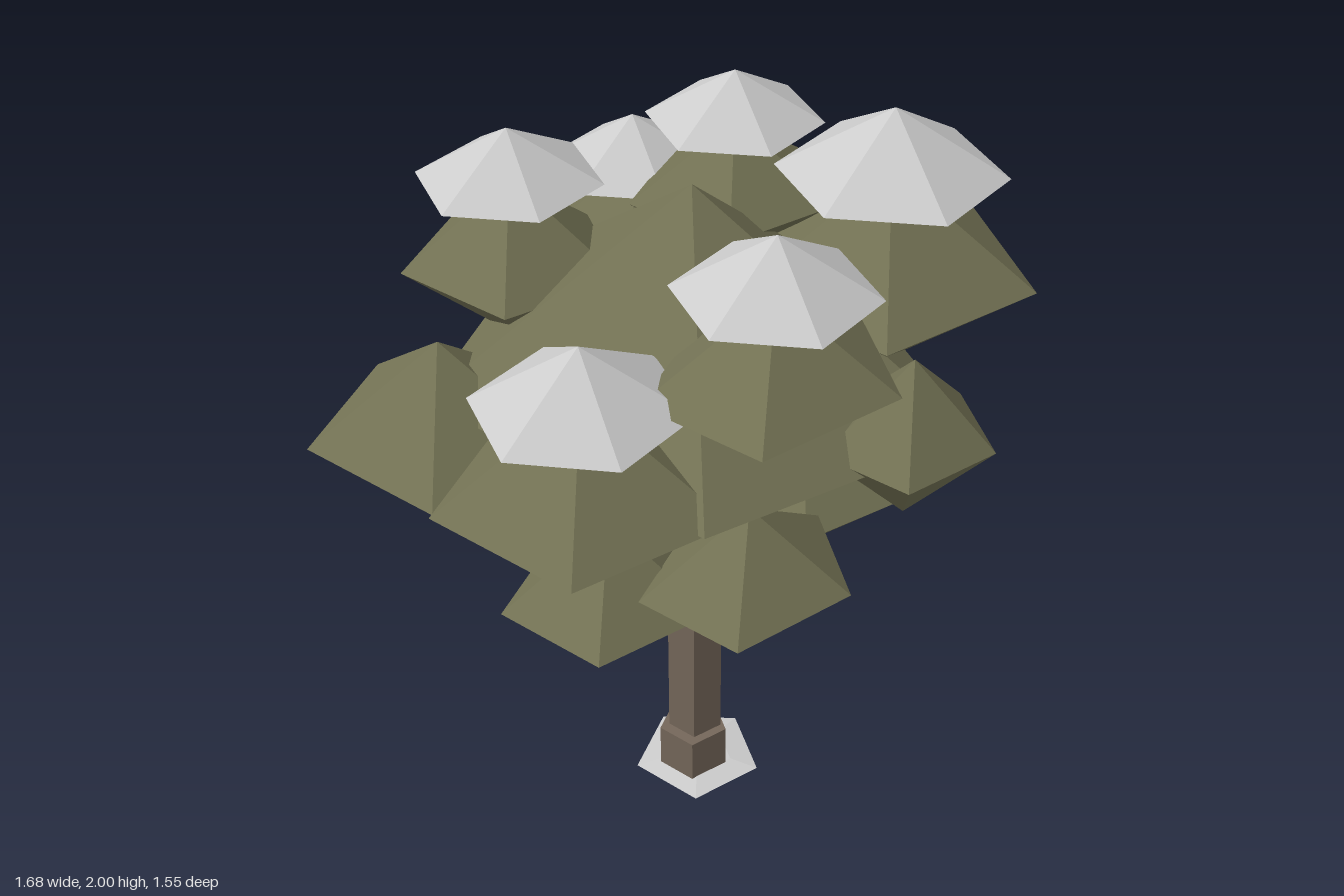
import * as THREE from 'three';

const paint = (color) => new THREE.MeshStandardMaterial({ color, flatShading: true });

export function createModel() {
  const tree = new THREE.Group();
  const bark = paint(0x75675a);
  const leaf = paint(0x737254);
  const snow = paint(0xcccccc);

  const add = (name, geometry, material, x, y, z) => {
    const mesh = new THREE.Mesh(geometry, material);
    mesh.name = name;
    mesh.position.set(x, y, z);
    tree.add(mesh);
    return mesh;
  };

  // Upright five-sided prism with one corner towards +x
  const prism = (top, bottom, height) =>
    new THREE.CylinderGeometry(top, bottom, height, 5).rotateY(Math.PI / 2);

  // Trunk, its foot and the thin patch of snow on the ground
  add('groundSnow', prism(0.1, 0.182, 0.012), snow, 0.005, 0.006, -0.015);
  add('trunkFoot', prism(0.098, 0.098, 0.14), bark, -0.015, 0.075, -0.015);
  add('trunk', prism(0.077, 0.077, 1.2), bark, -0.003, 0.61, -0.018);

  // Branches rising from the trunk into the lower clumps: start height, end point
  const branches = [
    [0.66, -0.37, 0.885, 0],
    [0.68, 0.29, 0.885, 0.12],
    [0.76, -0.21, 0.99, 0.31],
    [0.72, 0.13, 0.94, -0.32],
  ];
  const up = new THREE.Vector3(0, 1, 0);
  for (const [y0, x, y, z] of branches) {
    const start = new THREE.Vector3(0, y0, -0.015);
    const end = new THREE.Vector3(x, y, z);
    const dir = end.clone().sub(start);
    const mid = start.clone().add(end).multiplyScalar(0.5);
    const branch = add('branch', new THREE.CylinderGeometry(0.022, 0.032, dir.length(), 5), bark, mid.x, mid.y, mid.z);
    branch.quaternion.setFromUnitVectors(up, dir.normalize());
  }

  // Five-sided double pyramids of foliage: centre x, y, z, radii x, y, z
  const clump = (name, x, y, z, rx, ry, rz) =>
    add(name, new THREE.SphereGeometry(1, 5, 2).rotateY(Math.PI).scale(rx, ry, rz), leaf, x, y, z);

  clump('crown', -0.015, 1.36, -0.015, 0.63, 0.52, 0.735);

  const bareClumps = [
    [-0.475, 1.255, -0.43, 0.33, 0.26, 0.36],
    [0.05, 1.38, 0.58, 0.23, 0.22, 0.205],
    [-0.21, 0.99, 0.31, 0.3, 0.21, 0.255],
    [-0.37, 0.885, 0, 0.29, 0.225, 0.27],
    [0.29, 0.885, 0.12, 0.24, 0.215, 0.26],
    [0.13, 0.945, -0.32, 0.28, 0.21, 0.285],
  ];
  for (const c of bareClumps) clump('leafClump', ...c);

  // Upper clumps wearing a snow cap: ellipsoid values, then cap radius, base and peak height
  const snowyClumps = [
    [-0.14, 1.57, -0.48, 0.28, 0.23, 0.295, 0.235, 1.795, 1.93],
    [0.33, 1.43, -0.48, 0.27, 0.23, 0.3, 0.23, 1.645, 1.78],
    [0.33, 1.675, -0.15, 0.28, 0.19, 0.27, 0.225, 1.873, 2.0],
    [-0.55, 1.355, 0.09, 0.36, 0.265, 0.36, 0.26, 1.59, 1.75],
    [-0.21, 1.605, 0.37, 0.34, 0.22, 0.29, 0.24, 1.825, 1.97],
    [0.425, 1.545, 0.255, 0.41, 0.28, 0.38, 0.287, 1.815, 1.985],
  ];
  for (const [x, y, z, rx, ry, rz, r, base, peak] of snowyClumps) {
    clump('leafClump', x, y, z, rx, ry, rz);
    const cap = new THREE.ConeGeometry(r, peak - base, 6).rotateY(Math.PI / 2);
    add('snowCap', cap, snow, x, (base + peak) / 2, z);
  }

  return tree;
}
